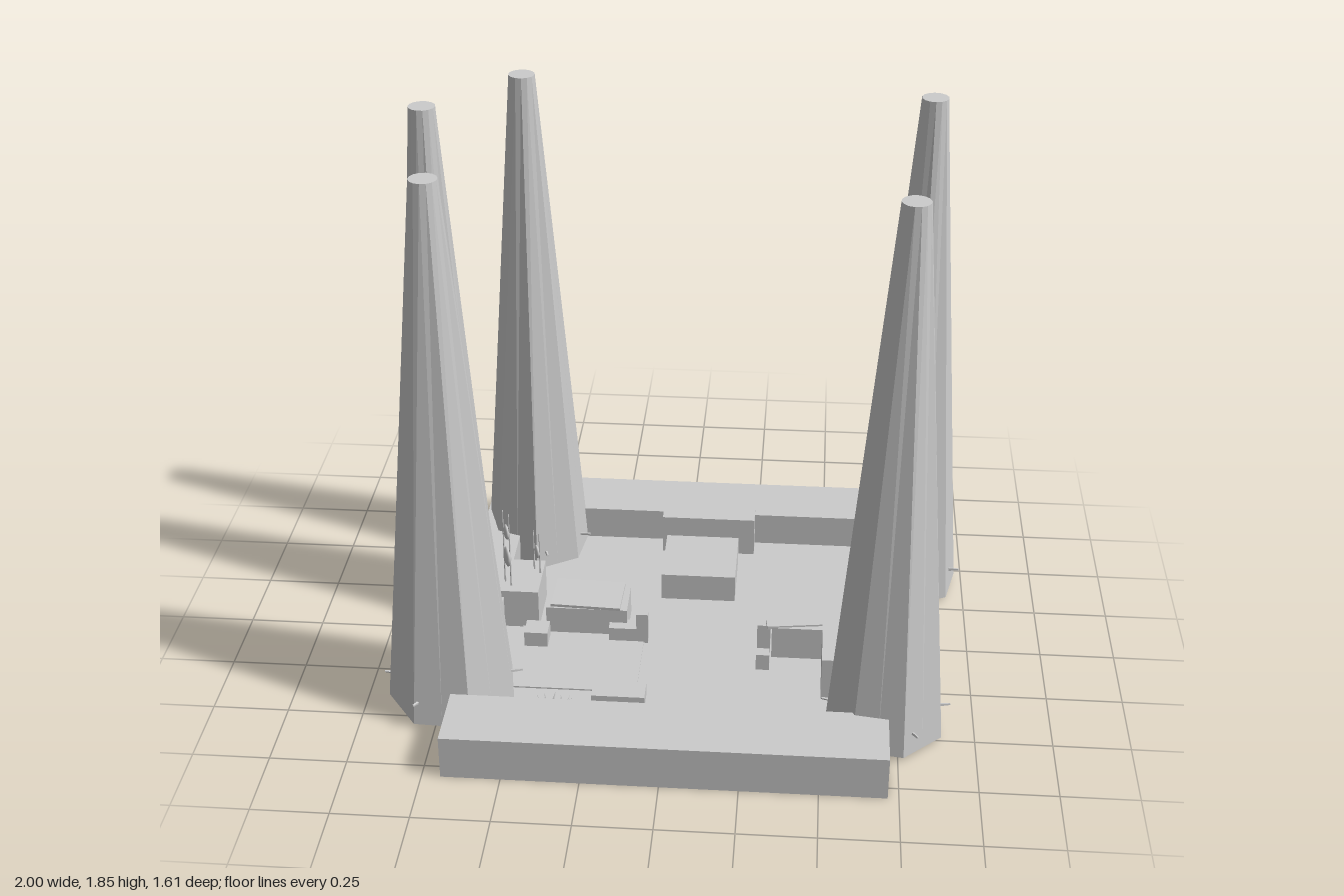
import * as THREE from 'three';

const mat = new THREE.MeshStandardMaterial({ color: 0xcccccc, flatShading: true });
const leafMat = new THREE.MeshStandardMaterial({ color: 0xcccccc, side: THREE.DoubleSide });

export function createModel() {
  const root = new THREE.Group();

  function add(name, geo, material = mat, parent = root) {
    const m = new THREE.Mesh(geo, material);
    m.name = name;
    parent.add(m);
    return m;
  }
  // box given by its extents on each axis
  function box(name, x0, x1, y0, y1, z0, z1) {
    const m = add(name, new THREE.BoxGeometry(x1 - x0, y1 - y0, z1 - z0));
    m.position.set((x0 + x1) / 2, (y0 + y1) / 2, (z0 + z1) / 2);
    return m;
  }

  // sunken floor and surrounding thick walls
  const H = 0.15, F = 0.03;
  box('floor', -0.62, 0.63, 0, F, -0.6, 0.58);
  box('backWall', -0.74, 0.77, 0, H, -0.81, -0.59);
  box('frontWall', -0.69, 0.715, 0, H, 0.57, 0.8);
  box('leftWall', -0.74, -0.6, 0, H, -0.59, 0.36);
  box('rightWall', 0.62, 0.77, 0, H, -0.59, -0.11);
  box('rightWallStep', 0.33, 0.77, 0, H, -0.11, 0.125);

  // furniture
  box('bed', -0.07, 0.19, F, 0.13, -0.46, -0.2);
  box('headboard', -0.09, 0.245, F, 0.175, -0.59, -0.51);
  box('rug', -0.535, -0.11, F, 0.035, 0.01, 0.36);
  box('plantStand', -0.63, -0.48, F, 0.175, -0.19, 0.01);
  box('desk', -0.45, -0.17, F, 0.135, -0.11, 0.04);
  const top = box('deskTop', -0.43, -0.19, 0.148, 0.158, -0.1, 0.05);
  top.rotation.set(0.06, -0.04, 0);
  box('stool', -0.515, -0.435, F, 0.09, 0.055, 0.13);
  box('bench', -0.25, -0.075, F, 0.075, 0.36, 0.445);
  box('chairSeat', -0.23, -0.13, F, 0.085, 0.02, 0.075);
  box('post', -0.135, -0.095, F, 0.145, 0.04, 0.075);
  box('planter', -0.36, -0.2, F, 0.08, 0.49, 0.57);
  box('cabinet', 0.5, 0.63, F, 0.185, 0.12, 0.345);
  box('smallBlock', 0.28, 0.325, F, 0.09, 0.16, 0.2);
  box('smallBlock', 0.28, 0.325, F, 0.14, 0.065, 0.1);
  box('smallBlock', 0.53, 0.565, F, 0.152, 0.075, 0.12);
  const shelf = box('leaningShelf', 0.31, 0.56, 0.145, 0.156, 0.06, 0.11);
  shelf.rotation.y = 0.14;

  // tall tapering trunks with shallow ribs, hidden footings and root stubs
  function trunk(x, z, r, turn, footing) {
    const g = new THREE.Group();
    g.name = 'trunk';
    g.position.set(x, 0, z);
    g.rotation.y = turn;
    root.add(g);
    const h = 1.835, sides = 14;
    const geo = new THREE.CylinderGeometry(0.044, r, h, sides, 1);
    const p = geo.attributes.position;
    for (let i = 0; i < p.count; i++) {
      if (p.getY(i) > 0) continue;
      const a = Math.atan2(p.getX(i), p.getZ(i));
      const k = 0.95 + 0.05 * Math.cos(a * 7);
      p.setX(i, p.getX(i) * k);
      p.setZ(i, p.getZ(i) * k);
    }
    geo.computeVertexNormals();
    add('bark', geo, mat, g).position.y = 0.015 + h / 2;
    for (let i = 0; i < 6; i++) {
      const a = i * Math.PI / 3 + 0.2, d = r * 0.94;
      const s = add('stub', new THREE.CylinderGeometry(0.004, 0.007, 0.05, 5), mat, g);
      s.position.set(Math.sin(a) * d, 0.09 + 0.006 * (i % 2), Math.cos(a) * d);
      s.quaternion.setFromUnitVectors(new THREE.Vector3(0, 1, 0),
        new THREE.Vector3(Math.sin(a), 0.15, Math.cos(a)).normalize());
    }
    if (footing) box('footing', x - 0.115, x + 0.115, 0, F, z - 0.115, z + 0.115);
  }
  trunk(-0.555, -0.54, 0.19, 0.1, false);
  trunk(-0.828, -0.22, 0.172, 0.25, true);
  trunk(-0.715, 0.37, 0.217, 0.4, true);
  trunk(0.795, -0.42, 0.185, 0.0, true);
  trunk(0.71, 0.43, 0.195, 0.3, true);

  // stalks carrying flat round leaves
  function stalkPlant(x, z, height, leaves) {
    const g = new THREE.Group();
    g.name = 'stalkPlant';
    g.position.set(x, 0.175, z);
    root.add(g);
    for (const dz of [-0.012, 0.012]) {
      const s = add('stalk', new THREE.CylinderGeometry(0.002, 0.003, height, 5), mat, g);
      s.position.set(dz, height / 2, dz);
    }
    for (const [y, r] of leaves) {
      const l = add('roundLeaf', new THREE.SphereGeometry(r, 12, 8), leafMat, g);
      l.scale.set(0.35, 1.1, 1);
      l.rotation.y = 0.4;
      l.position.y = y;
    }
  }
  stalkPlant(-0.59, -0.04, 0.29, [[0.21, 0.025], [0.11, 0.033]]);
  stalkPlant(-0.5, -0.125, 0.16, [[0.08, 0.022]]);

  // tufts of pointed leaves along the front wall
  function tuft(x, y, z, size, count) {
    const g = new THREE.Group();
    g.name = 'leafTuft';
    g.position.set(x, y, z);
    root.add(g);
    for (let i = 0; i < count; i++) {
      const blade = new THREE.ConeGeometry(size * 0.14, size, 4);
      blade.translate(0, size / 2, 0);
      blade.scale(1, 1, 0.3);
      const m = add('leaf', blade, leafMat, g);
      m.rotation.order = 'YXZ';
      m.rotation.set(0.6 + 0.35 * (i % 2), i * Math.PI * 2 / count, 0);
    }
  }
  tuft(-0.38, F, 0.515, 0.09, 9);
  tuft(-0.33, 0.08, 0.53, 0.05, 7);
  tuft(0.32, F, 0.54, 0.06, 7);
  tuft(0.46, F, 0.54, 0.06, 7);

  return root;
}
